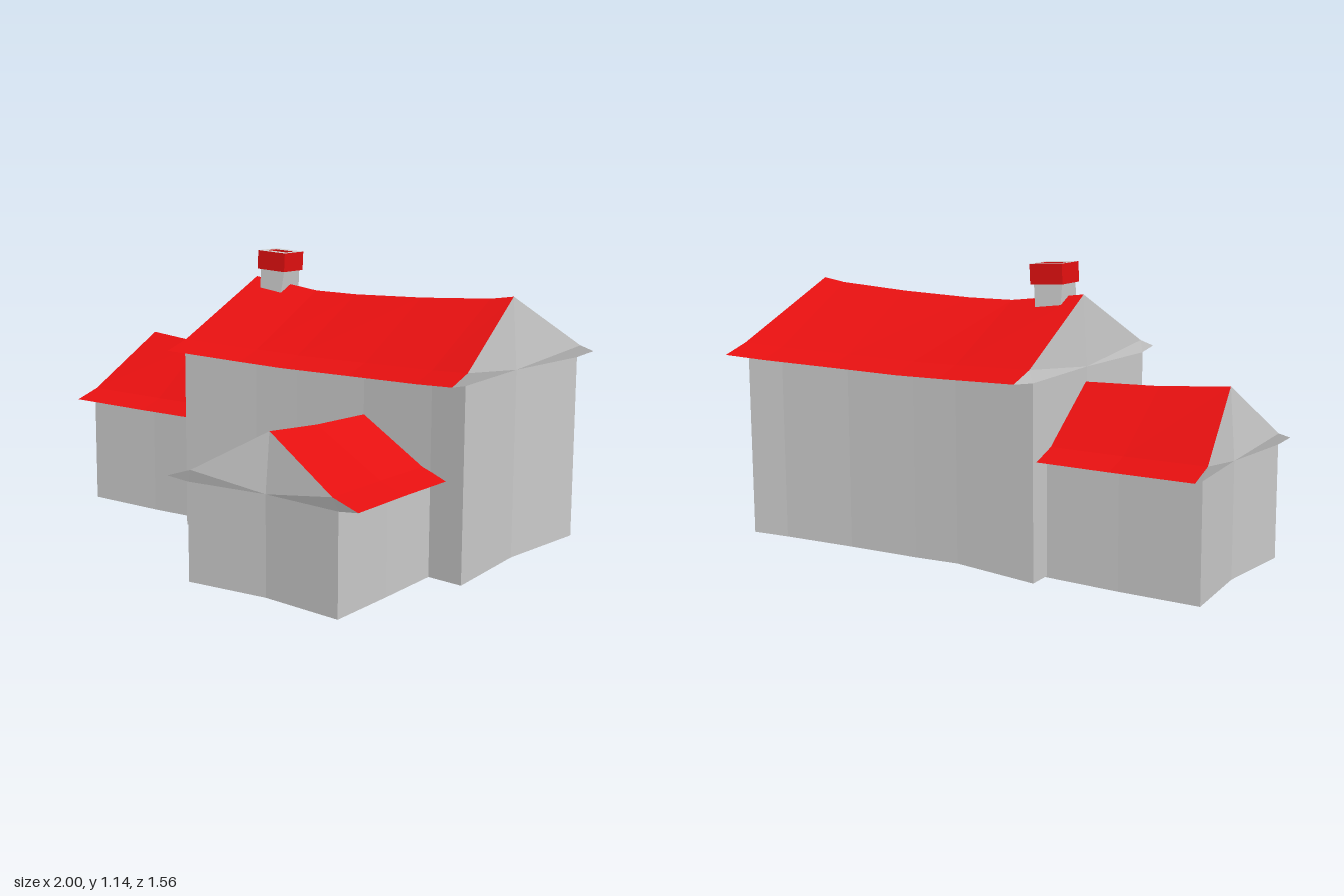
import * as THREE from 'three';

const grey = new THREE.MeshStandardMaterial({ color: 0xcccccc, flatShading: true, side: THREE.DoubleSide });
const red = new THREE.MeshStandardMaterial({ color: 0xe51010, flatShading: true, side: THREE.DoubleSide });

// Collects flat polygons; corners run counter-clockwise unless flipped
class Faces {
  constructor() { this.v = []; }
  add(flip, ...p) {
    if (flip) p.reverse();
    for (let i = 1; i < p.length - 1; i++) for (const q of [p[0], p[i], p[i + 1]]) this.v.push(...q);
  }
  mesh(name, material) {
    const g = new THREE.BufferGeometry();
    g.setAttribute('position', new THREE.Float32BufferAttribute(this.v, 3));
    g.computeVertexNormals();
    const m = new THREE.Mesh(g, material);
    m.name = name;
    return m;
  }
}

// One crooked house running along x.
// stations: [x, wall half width, eave half width, ground y, eave y, ridge y]
// ends: { at: station index, wall, ridge, centre } = x offsets of a gable; door = [half width, y]
// sideDoor: { from, to, y } = station range of an opening in the +z wall
function house(name, stations, ends, sideDoor) {
  const group = new THREE.Group();
  group.name = name;
  const walls = new Faces(), roof = new Faces();

  // Named points of one half of a cross-section
  const section = (i, s) => {
    const [x, w, e, y0, ye, yr] = stations[i];
    const end = ends.find(o => o.at === i) || { wall: 0, ridge: 0 };
    return {
      base: [x + end.wall, y0, s * w],
      top: [x + end.wall, ye - 0.012, s * w],
      tip: [x, ye, s * e],
      knee: [x + end.ridge * 0.06, ye + 0.036, s * (e - 0.11)],
      ridge: [x + end.ridge, yr, 0],
    };
  };

  for (const s of [1, -1]) {
    const flip = s < 0;
    // Side walls, soffits and roof slopes
    for (let i = 0; i < stations.length - 1; i++) {
      const a = section(i, s), b = section(i + 1, s);
      if (sideDoor && s > 0 && i >= sideDoor.from && i < sideDoor.to) a.base[1] = b.base[1] = sideDoor.y;
      walls.add(flip, a.base, b.base, b.top, a.top);
      walls.add(flip, a.top, b.top, b.tip, a.tip);
      roof.add(flip, a.tip, b.tip, b.knee, a.knee);
      roof.add(flip, a.knee, b.knee, b.ridge, a.ridge);
    }
    // Gables, dished inwards towards the centre line
    for (const end of ends) {
      const p = section(end.at, s);
      const [x, w, , y0, ye] = stations[end.at];
      const f = (s > 0) !== (end.at === 0);
      const [h, doorY] = end.door || [w * 0.5, y0];
      const jambX = x + end.centre + (end.wall - end.centre) * h / w;
      const jamb = y => [jambX, y, s * h], mid = y => [x + end.centre, y, 0];
      const topY = ye - 0.012;
      walls.add(!f, jamb(y0), p.base, p.top, jamb(topY));
      walls.add(!f, mid(doorY), jamb(doorY), jamb(topY), mid(topY));
      walls.add(!f, p.top, p.tip, p.knee);
      walls.add(!f, jamb(topY), p.top, p.knee);
      walls.add(!f, mid(topY), jamb(topY), p.knee);
      walls.add(!f, mid(topY), p.knee, p.ridge);
    }
  }
  group.add(walls.mesh(name + 'Walls', grey), roof.mesh(name + 'Roof', red));
  return group;
}

// Chimney: flared stack with a hollow red cap
function chimney() {
  const group = new THREE.Group();
  group.name = 'chimney';
  const stackGeo = new THREE.BoxGeometry(1, 0.2, 1);
  const pos = stackGeo.attributes.position;
  for (let i = 0; i < pos.count; i++) {
    const up = pos.getY(i) > 0;
    pos.setX(i, pos.getX(i) * (up ? 0.125 : 0.1));
    pos.setZ(i, pos.getZ(i) * (up ? 0.1 : 0.14));
  }
  stackGeo.computeVertexNormals();
  const stack = new THREE.Mesh(stackGeo, grey);
  stack.name = 'chimneyStack';
  stack.position.y = -0.06;

  const rect = (C, w, d) => new C([[-w, -d], [w, -d], [w, d], [-w, d]].map(p => new THREE.Vector2(...p)));
  const outline = rect(THREE.Shape, 0.071, 0.063);
  outline.holes.push(rect(THREE.Path, 0.05, 0.028));
  const capGeo = new THREE.ExtrudeGeometry(outline, { depth: 0.078, bevelEnabled: false });
  capGeo.rotateX(-Math.PI / 2);
  const cap = new THREE.Mesh(capGeo, [grey, red]);
  cap.name = 'chimneyCap';
  cap.position.y = 0.03;
  group.add(stack, cap);
  group.position.set(-0.195, 1.037, -0.24);
  group.rotation.z = -0.05;
  return group;
}

export function createModel() {
  const model = new THREE.Group();
  model.name = 'house';

  // Tall main house
  const main = house('mainHouse', [
    [-0.345, 0.425, 0.54, 0.015, 0.768, 1.03],
    [0, 0.395, 0.502, 0.027, 0.752, 0.99],
    [0.2, 0.387, 0.495, 0.018, 0.747, 0.988],
    [0.515, 0.383, 0.488, 0.012, 0.748, 0.997],
    [0.83, 0.402, 0.512, 0.012, 0.755, 1.015],
    [1, 0.425, 0.54, 0.015, 0.765, 1.03],
  ], [
    { at: 0, wall: -0.01, ridge: 0.025, centre: 0.008, door: [0.31, 0.44] },
    { at: 5, wall: -0.015, ridge: -0.07, centre: -0.05 },
  ], { from: 2, to: 4, y: 0.38 });
  main.position.z = -0.24;

  // Lower wing on the right-hand end
  const wing = house('sideWing', [
    [-1, 0.34, 0.43, 0.015, 0.475, 0.735],
    [-0.65, 0.315, 0.392, 0.006, 0.463, 0.71],
    [-0.31, 0.31, 0.39, 0.01, 0.463, 0.698],
  ], [{ at: 0, wall: 0.013, ridge: 0.065, centre: 0.045 }]);
  wing.position.z = -0.25;

  // Front wing, turned to face +z
  const front = house('frontWing', [
    [0.14, 0.31, 0.388, 0.01, 0.39, 0.587],
    [0.44, 0.315, 0.392, 0.006, 0.392, 0.595],
    [0.777, 0.338, 0.428, 0.015, 0.405, 0.615],
  ], [{ at: 2, wall: -0.012, ridge: -0.065, centre: -0.043 }]);
  front.rotation.y = -Math.PI / 2;
  front.position.x = 0.516;

  model.add(main, wing, front, chimney());
  return model;
}
